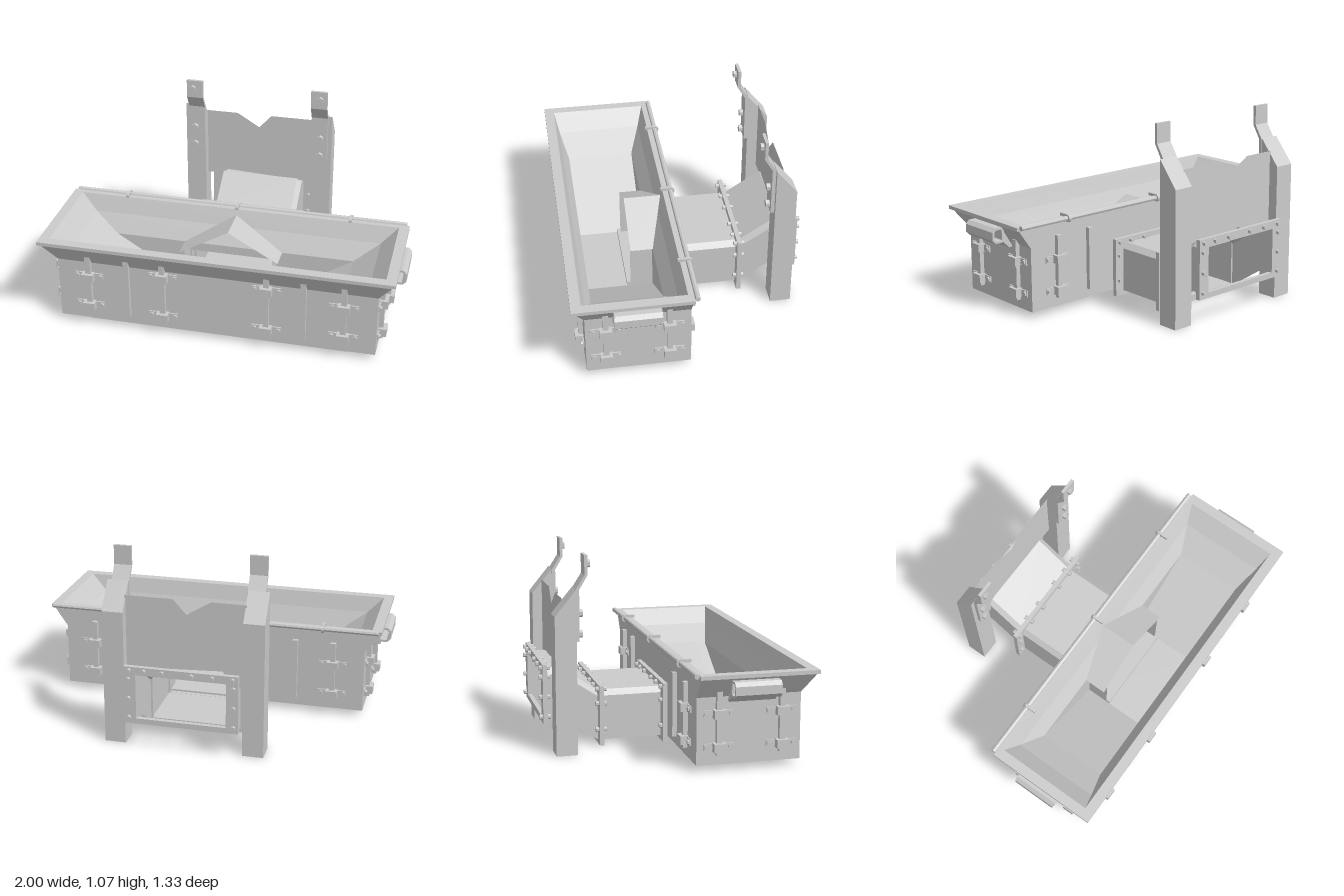
import * as THREE from 'three';

const mat = new THREE.MeshStandardMaterial({ color: 0xcccccc, flatShading: true });
const sheetMat = new THREE.MeshStandardMaterial({ color: 0xcccccc, flatShading: true, side: THREE.DoubleSide });

function add(parent, name, geo, x = 0, y = 0, z = 0, m = mat) {
  const mesh = new THREE.Mesh(geo, m);
  mesh.name = name;
  mesh.position.set(x, y, z);
  parent.add(mesh);
  return mesh;
}
const box = (w, h, d) => new THREE.BoxGeometry(w, h, d);
const shapeOf = pts => new THREE.Shape(pts.map(p => new THREE.Vector2(...p)));
const rect = (x0, y0, x1, y1) => [[x0, y0], [x1, y0], [x1, y1], [x0, y1]];
const extrude = (shape, depth) => new THREE.ExtrudeGeometry(shape, { depth, bevelEnabled: false, curveSegments: 4 });
const hexBolt = (r, len) => new THREE.CylinderGeometry(r, r, len, 6).rotateX(Math.PI / 2);

// Outline with a hole, lying in x/y and extruded along z
function holed(outer, inner, depth) {
  const s = shapeOf(outer);
  s.holes.push(shapeOf(inner));
  return extrude(s, depth);
}

// Thin sheet from a list of four-cornered faces
function sheet(quads) {
  const pos = [];
  for (const [a, b, c, d] of quads) pos.push(...a, ...b, ...c, ...a, ...c, ...d);
  const g = new THREE.BufferGeometry();
  g.setAttribute('position', new THREE.Float32BufferAttribute(pos, 3));
  g.computeVertexNormals();
  return g;
}

// Skin between consecutive cross-sections; keep(section, side) can leave faces out
function loft(sections, closed, keep = () => true) {
  const quads = [];
  for (let i = 0; i < sections.length - 1; i++) {
    const a = sections[i], b = sections[i + 1], n = a.length;
    for (let j = 0; j < (closed ? n : n - 1); j++) {
      const k = (j + 1) % n;
      if (keep(i, j)) quads.push([a[j], a[k], b[k], b[j]]);
    }
  }
  return sheet(quads);
}
// Rectangular ring at height y; side 0 is the back
const ring = (hx, z0, z1, y) => [[-hx, y, z0], [hx, y, z0], [hx, y, z1], [-hx, y, z1]];

// Vertical strap with bolted clamps, facing local +z
function strap(parent, x, z, angle, clampYs, y0 = 0.085, y1 = 0.435) {
  const g = new THREE.Group();
  g.name = 'strap';
  add(g, 'strapBar', box(0.03, y1 - y0, 0.025), 0, (y0 + y1) / 2, 0.0125);
  for (const y of clampYs) {
    add(g, 'clampBlock', box(0.065, 0.045, 0.044), 0, y, 0.022);
    add(g, 'clampEar', box(0.16, 0.035, 0.008), 0, y, 0.004);
    for (const s of [-1, 1]) add(g, 'clampBolt', hexBolt(0.014, 0.016), s * 0.065, y, 0.01);
  }
  g.position.set(x, 0, z);
  g.rotation.y = angle;
  parent.add(g);
}

function makeTrough() {
  const g = new THREE.Group();
  g.name = 'trough';
  const notBack = (i, j) => j !== 0;
  add(g, 'outerShell', loft([ring(0.875, 0.035, 0.59, 0.035), ring(0.875, 0.035, 0.59, 0.39),
    ring(0.95, 0.035, 0.65, 0.5)], true, notBack), 0, 0, 0, sheetMat);
  add(g, 'underside', sheet([ring(0.875, 0.035, 0.59, 0.035)]), 0, 0, 0, sheetMat);
  add(g, 'backWall', holed([[-0.875, 0.035], [0.875, 0.035], [0.875, 0.39], [0.95, 0.5], [-0.95, 0.5], [-0.875, 0.39]],
    rect(-0.245, 0.05, 0.245, 0.28), 0.015), 0, 0, 0.035);

  // Hopper lining, narrowing to the middle of the floor
  add(g, 'hopperLining', loft([ring(0.91, 0.06, 0.605, 0.52), ring(0.82, 0.097, 0.58, 0.43), ring(0.68, 0.155, 0.54, 0.33),
    ring(0.25, 0.155, 0.54, 0.06)], true, (i, j) => i < 2 || j !== 0), 0, 0, 0, sheetMat);
  add(g, 'hopperFloor', sheet([ring(0.25, 0.155, 0.54, 0.06)]), 0, 0, 0, sheetMat);
  const back = shapeOf([[-0.68, 0.33], [-0.25, 0.06], [0.25, 0.06], [0.68, 0.33]]);
  back.holes.push(shapeOf(rect(-0.24, 0.07, 0.24, 0.28)));
  add(g, 'hopperBack', new THREE.ShapeGeometry(back), 0, 0, 0.155, sheetMat);

  // Gabled cover above the outlet
  add(g, 'outletCover', sheet([-1, 1].flatMap(s => [
    [[0, 0.49, 0.072], [0, 0.49, 0.28], [s * 0.28, 0.33, 0.28], [s * 0.28, 0.33, 0.155]],
    [[s * 0.25, 0.345, 0.155], [s * 0.25, 0.345, 0.28], [s * 0.25, 0.06, 0.28], [s * 0.25, 0.06, 0.155]]])), 0, 0, 0, sheetMat);
  add(g, 'outletLip', box(0.5, 0.03, 0.02), 0, 0.07, 0.29);

  // Rim, given as x against z and laid flat
  add(g, 'rim', holed(rect(-0.965, 0.03, 0.965, 0.66), rect(-0.91, 0.06, 0.91, 0.605), 0.02).rotateX(Math.PI / 2), 0, 0.52, 0);
  add(g, 'hingeRod', new THREE.CylinderGeometry(0.014, 0.014, 1.9, 8).rotateZ(Math.PI / 2), 0, 0.517, 0.015);
  for (const x of [-0.64, 0, 0.64]) {
    add(g, 'hingeClip', box(0.016, 0.016, 0.06), x, 0.53, 0.042);
    add(g, 'hingeKnuckle', new THREE.CylinderGeometry(0.021, 0.021, 0.016, 10).rotateZ(Math.PI / 2), x, 0.517, 0.012);
  }
  // Skids
  const skid = extrude(shapeOf([[-0.79, 0.035], [-0.72, 0], [0.72, 0], [0.79, 0.035]]), 0.065);
  for (const z of [0.15, 0.48]) add(g, 'skid', skid, 0, 0, z);

  // Straps on all four walls
  for (const s of [-1, 1]) {
    strap(g, s * 0.7, 0.59, 0, [0.13, 0.31]);
    strap(g, s * 0.485, 0.59, 0, []);
    strap(g, s * 0.285, 0.59, 0, [0.115, 0.36]);
    strap(g, s * 0.7, 0.035, Math.PI, [0.13, 0.305]);
    strap(g, s * 0.485, 0.035, Math.PI, []);
    for (const z of [0.15, 0.485]) strap(g, s * 0.875, z, s * Math.PI / 2, [0.13, 0.305], 0.085, 0.42);
    // End handle: a flattened loop with a mounting plate
    const loop = holed([[0.925, 0.41], [0.94, 0.4], [0.98, 0.4], [1, 0.42], [1, 0.465], [0.98, 0.485], [0.925, 0.485]],
      [[0.935, 0.42], [0.943, 0.412], [0.976, 0.412], [0.988, 0.424], [0.988, 0.461], [0.976, 0.473], [0.935, 0.473]], 0.245);
    if (s < 0) loop.rotateY(Math.PI).translate(0, 0, 0.245);
    add(g, 'handle', loop, 0, 0, 0.2);
    const mount = extrude(shapeOf([[s * 0.87, 0.365], [s * 0.895, 0.365], [s * 0.94, 0.41], [s * 0.94, 0.48]]), 0.245);
    add(g, 'handleMount', mount, 0, 0, 0.2);
  }
  return g;
}

// Bolted rectangular flange around the chute
function flange(parent, y0, y1, holeY0, holeY1, z, boltYs) {
  add(parent, 'flange', holed(rect(-0.31, y0, 0.31, y1), rect(-0.245, holeY0, 0.245, holeY1), 0.025), 0, 0, z - 0.0125);
  for (const x of [-0.28, -0.17, -0.06, 0.1, 0.2, 0.28]) add(parent, 'flangeBolt', hexBolt(0.013, 0.06), x, y1 - 0.02, z);
  for (const s of [-1, 1]) for (const y of boltYs) add(parent, 'flangeBolt', hexBolt(0.013, 0.06), s * 0.285, y, z);
}

function makeChute() {
  const g = new THREE.Group();
  g.name = 'chute';
  const section = ([z, y]) => [[-0.255, y, z], [-0.255, y + 0.245, z], [-0.227, y + 0.275, z],
    [0.227, y + 0.275, z], [0.255, y + 0.245, z], [0.255, y, z]];
  add(g, 'chuteHood', loft([[0.155, 0.025], [-0.345, 0.025], [-0.55, 0.16], [-0.645, 0.16]].map(section), false), 0, 0, 0, sheetMat);
  add(g, 'chuteFloor', box(0.5, 0.014, 0.64), 0, 0.032, -0.02);
  flange(g, 0, 0.33, 0.04, 0.29, 0.022, [0.09, 0.235]);
  flange(g, 0.005, 0.335, 0.04, 0.29, -0.332, [0.09, 0.235]);
  flange(g, 0.145, 0.47, 0.175, 0.425, -0.64, [0.18, 0.29, 0.4]);
  return g;
}

function makeSupport() {
  const g = new THREE.Group();
  g.name = 'support';
  // Profiles of height against z, turned to run along x
  const across = (pts, w) => extrude(shapeOf(pts.map(([z, y]) => [-z, y])), w).rotateY(Math.PI / 2).translate(-w / 2, 0, 0);
  const post = across([[-0.605, 0], [-0.49, 0], [-0.49, 0.89], [-0.605, 0.75]], 0.115);
  const bracket = across([[-0.49, 0.61], [-0.47, 0.61], [-0.47, 0.885], [-0.425, 0.96], [-0.425, 1.065],
    [-0.442, 1.065], [-0.442, 0.96], [-0.49, 0.885]], 0.095);
  for (const s of [-1, 1]) {
    add(g, 'post', post, s * 0.38, 0, 0);
    add(g, 'hangerBracket', bracket, s * 0.367, 0, 0);
    for (const [y, z] of [[0.645, -0.46], [0.755, -0.46], [1.017, -0.418]])
      add(g, 'bracketBolt', hexBolt(0.021, 0.022), s * 0.367 - 0.022 * (s > 0 ? 0.2 : 1) + 0.01, y, z);
  }
  // Thin plate between the posts, notched at the top
  add(g, 'backPlate', new THREE.ShapeGeometry(shapeOf([[-0.33, 0.42], [-0.23, 0.42], [-0.2, 0.45], [0.2, 0.43], [0.33, 0.42],
    [0.33, 0.83], [0.065, 0.83], [-0.008, 0.75], [-0.14, 0.83], [-0.33, 0.83]])), 0, 0, -0.55, sheetMat);
  return g;
}

export function createModel() {
  const model = new THREE.Group();
  model.name = 'feedTrough';
  model.add(makeTrough(), makeChute(), makeSupport());
  return model;
}
